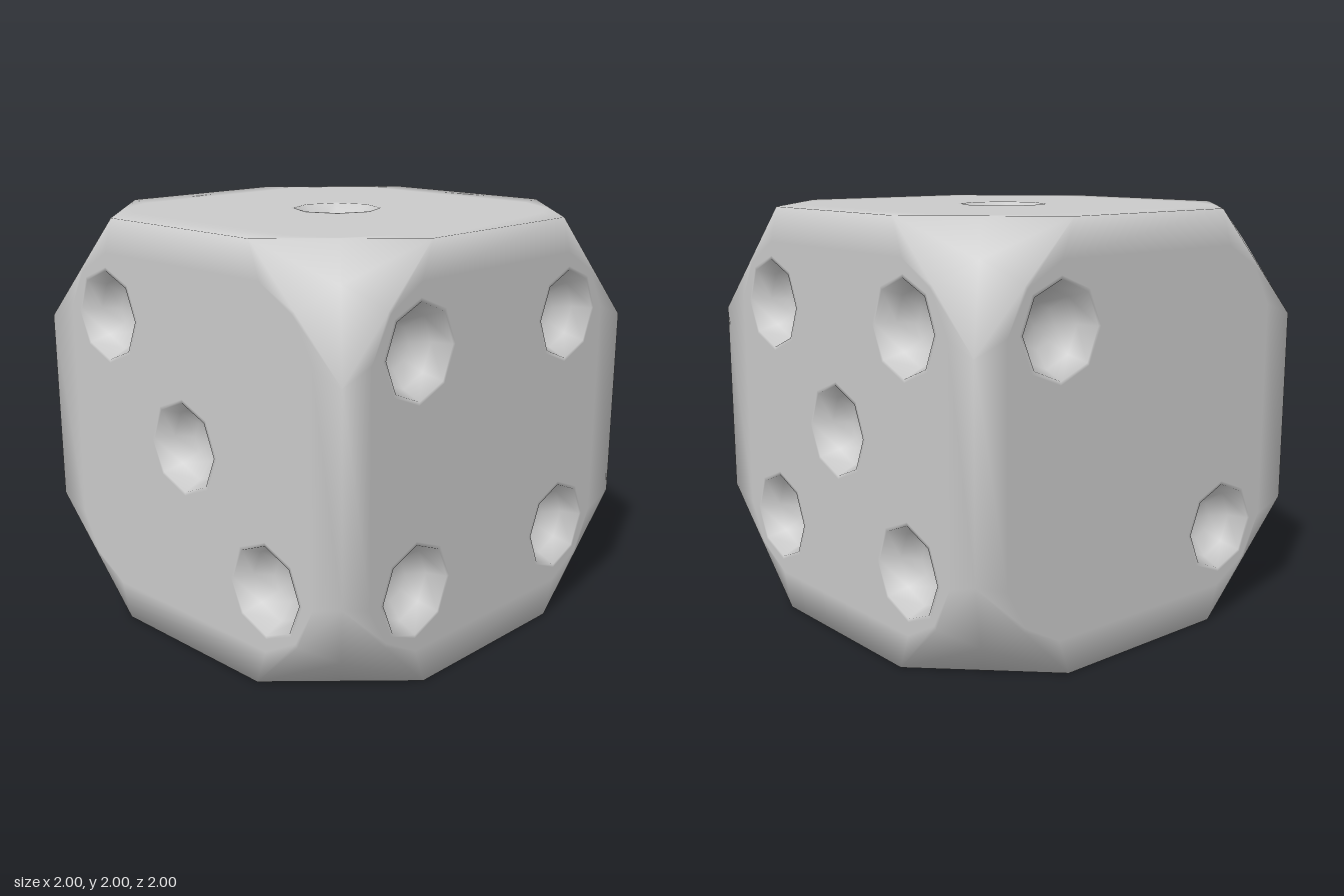
import * as THREE from 'three';

const K = 0.47;            // where the corner cuts meet the cube edges
const H = (1 + K) / 2;     // middle of a cut line
const D = 0.535;           // pip spacing
const R = 0.213;           // pip radius
const material = new THREE.MeshStandardMaterial({ color: 0xcccccc });

// Joins closed rings of [point, normal] pairs, from the outer ring inwards
function loft(rings) {
  const pos = [], nor = [], index = [], n = rings[0].length;
  for (const ring of rings) for (const [p, dir] of ring) {
    pos.push(...p);
    nor.push(...new THREE.Vector3(...dir).normalize().toArray());
  }
  for (let i = 0; i < rings.length - 1; i++) for (let j = 0; j < n; j++) {
    const a = i * n + j, b = i * n + (j + 1) % n;
    index.push(a, b, b + n, a, b + n, a + n);
  }
  const g = new THREE.BufferGeometry();
  g.setAttribute('position', new THREE.Float32BufferAttribute(pos, 3));
  g.setAttribute('normal', new THREE.Float32BufferAttribute(nor, 3));
  g.setIndex(index);
  return g;
}

function addMesh(parent, geometry, name) {
  const mesh = new THREE.Mesh(geometry, material);
  mesh.name = name;
  parent.add(mesh);
  return mesh;
}

// Repeats a quarter of a ring four times about the z axis
function quarters(list) {
  const out = [];
  for (let q = 0; q < 4; q++) {
    const c = [1, 0, -1, 0][q], s = [0, 1, 0, -1][q];
    const turn = ([x, y, z]) => [c * x - s * y, s * x + c * y, z];
    for (const [p, n] of list) out.push([turn(p), turn(n)]);
  }
  return out;
}

// Eight-sided ring; tilt leans the normals towards the axis
function octagon(radius, z, tilt) {
  return Array.from({ length: 8 }, (_, i) => {
    const a = i * Math.PI / 4, c = Math.cos(a), s = Math.sin(a);
    return [[c * radius, s * radius, z], [-c * Math.sin(tilt), -s * Math.sin(tilt), Math.cos(tilt)]];
  });
}

// Outline of the flat part, and the softly shaded border around it
const up = [0, 0, 1], t = 1 / Math.sqrt(3);
const outer = quarters([
  [[1, K, 1], [1, 0.2, 1]], [[H, H, 1], [t, t, 1 + t]], [[K, 1, 1], [0.2, 1, 1]],
]);
const inner = quarters([
  [[0.83, 0.53, 1], up], [[0.722, 0.722, 1], up], [[0.53, 0.83, 1], up],
]);
const borderGeometry = loft([outer, inner]);

// Hollow pip with a narrow rim
const pipGeometry = loft([
  octagon(R * 1.08, 1, 0), octagon(R, 1, 0.6), octagon(0.175, 0.91, 0.9),
  octagon(0.1, 0.85, 0.45), octagon(0, 0.83, 0),
]);

// Flat face with a hole for each pip
function flatGeometry(pips) {
  const shape = new THREE.Shape(inner.map(([p]) => new THREE.Vector2(p[0], p[1])));
  for (const [u, v] of pips) {
    shape.holes.push(new THREE.Path(octagon(R * 1.08, 1, 0)
      .map(([p]) => new THREE.Vector2(p[0] + u, p[1] + v)).reverse()));
  }
  return new THREE.ShapeGeometry(shape).translate(0, 0, 1);
}

// Slightly domed triangle over a cut corner
function cornerGeometry() {
  const edge = [
    [[K, 1, 1], [0.2, 1, 1]], [[H, H, 1], [t, t, 1 + t]],
    [[1, K, 1], [1, 0.2, 1]], [[1, H, H], [1 + t, t, t]],
    [[1, 1, K], [1, 1, 0.2]], [[H, 1, H], [t, 1 + t, t]],
  ];
  return loft([edge, edge.map(() => [[0.835, 0.835, 0.835], [1, 1, 1]])]);
}

export function createModel() {
  const model = new THREE.Group();
  model.name = 'die';
  const body = new THREE.Group();
  body.name = 'body';
  body.position.y = 1;
  model.add(body);

  // Pip layouts in face coordinates
  const one = [[0, 0]];
  const two = [[-D, D], [D, -D]];
  const four = [...two, [D, D], [-D, -D]];
  const six = [...four, [-D, 0], [D, 0]];
  const q = Math.PI / 2;
  const faces = [
    ['frontFace', 0, 0, [...two, ...one]],
    ['leftFace', 0, q, four],
    ['backFace', 0, 2 * q, [...four, ...one]],
    ['rightFace', 0, -q, two],
    ['topFace', -q, 0, one],
    ['bottomFace', q, 0, six],
  ];
  for (const [name, rx, ry, pips] of faces) {
    const face = new THREE.Group();
    face.name = name;
    face.rotation.set(rx, ry, 0);
    body.add(face);
    addMesh(face, flatGeometry(pips), 'flat');
    addMesh(face, borderGeometry, 'border');
    for (const [u, v] of pips) addMesh(face, pipGeometry, 'pip').position.set(u, v, 0);
  }

  // Eight cut corners
  const corner = cornerGeometry();
  for (const half of [0, 1]) {
    const ring = new THREE.Group();
    ring.name = half ? 'bottomCorners' : 'topCorners';
    ring.rotation.x = half * Math.PI;
    body.add(ring);
    for (let i = 0; i < 4; i++) addMesh(ring, corner, 'corner').rotation.y = i * q;
  }
  return model;
}
